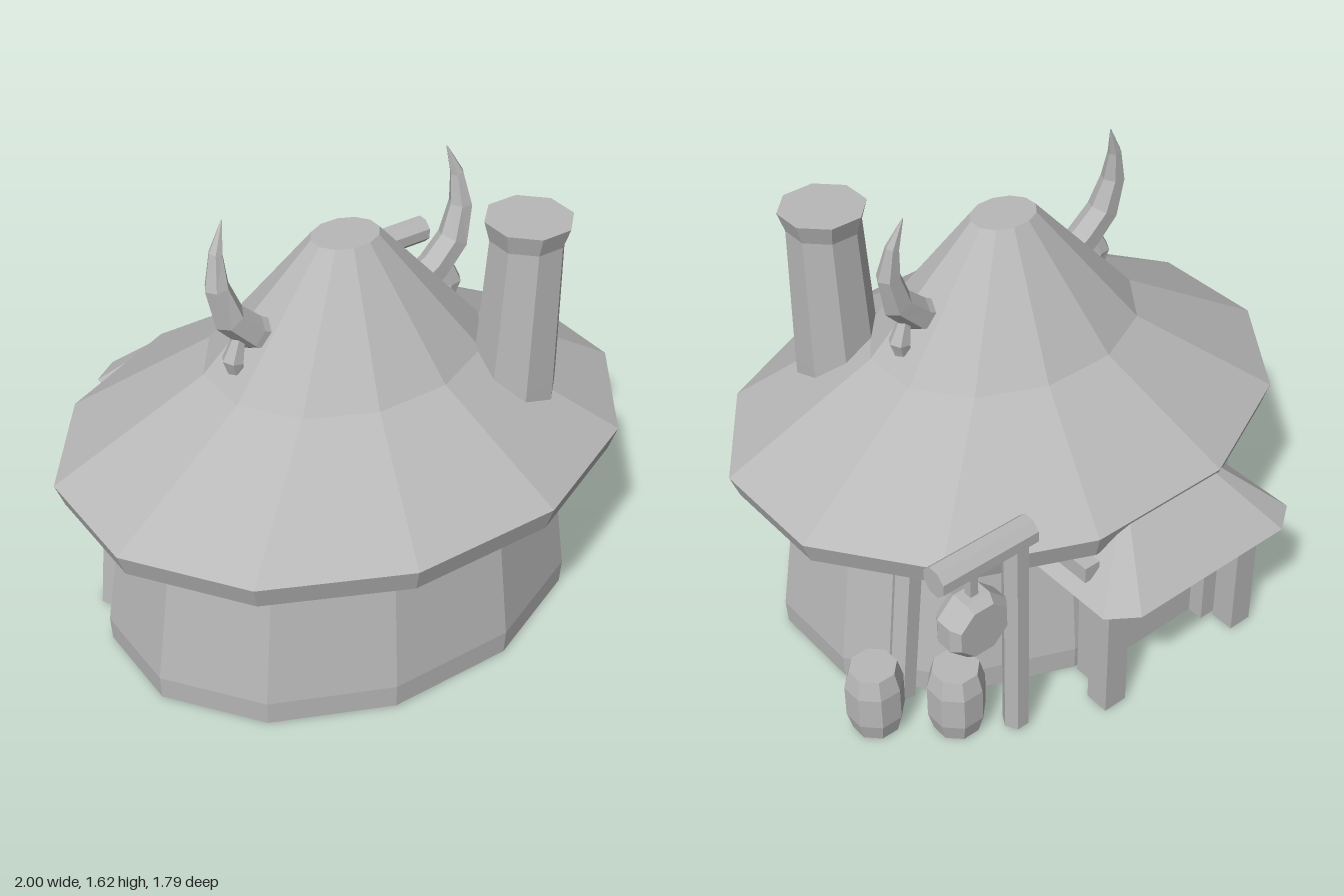
import * as THREE from 'three';

const V = (x, y, z) => new THREE.Vector3(x, y, z);

// skin between rings of equal point count, with fan caps at both ends
function loft(rings) {
  const n = rings[0].length, pos = [], idx = [];
  rings.forEach(r => r.forEach(p => pos.push(p.x, p.y, p.z)));
  for (let i = 0; i < rings.length - 1; i++) {
    for (let j = 0; j < n; j++) {
      const a = i * n + j, b = i * n + (j + 1) % n;
      idx.push(a, b, b + n, a, b + n, a + n);
    }
  }
  const top = (rings.length - 1) * n;
  for (let j = 1; j < n - 1; j++) {
    idx.push(0, j + 1, j, top, top + j, top + j + 1);
  }
  const g = new THREE.BufferGeometry();
  g.setAttribute('position', new THREE.Float32BufferAttribute(pos, 3));
  g.setIndex(idx);
  g.computeVertexNormals();
  return g;
}

// faceted tapering limb along a path in the xy plane: stations are [x, y, z, radius]
function limb(stations, sides = 6) {
  const pts = stations.map(s => V(s[0], s[1], s[2]));
  return loft(stations.map((s, i) => {
    const dir = pts[Math.min(i + 1, pts.length - 1)].clone().sub(pts[Math.max(i - 1, 0)]).normalize();
    const u = V(0, 0, 1), v = u.clone().cross(dir).normalize().negate();
    return Array.from({ length: sides }, (_, j) => {
      const a = -(j + 0.5) / sides * Math.PI * 2;
      return pts[i].clone().addScaledVector(u, Math.cos(a) * s[3]).addScaledVector(v, Math.sin(a) * s[3]);
    });
  }));
}

// faceted turned shape whose profile gives half-widths across the flats
function turned(profile, sides) {
  const k = 1 / Math.cos(Math.PI / sides);
  return new THREE.LatheGeometry(profile.map(([r, y]) => new THREE.Vector2(r * k, y)), sides, Math.PI / sides);
}

export function createModel() {
  const group = new THREE.Group();
  const mat = new THREE.MeshStandardMaterial({ color: 0xb8b8b8, flatShading: true, side: THREE.DoubleSide });
  mat.name = 'plain grey';

  const add = (name, geo, x = 0, y = 0, z = 0) => {
    const m = new THREE.Mesh(geo, mat);
    m.name = name;
    m.position.set(x, y, z);
    group.add(m);
    return m;
  };
  const box = (name, w, h, d, x, y, z) => add(name, new THREE.BoxGeometry(w, h, d), x, y, z);

  // oval twelve-sided wall, open underneath
  add('wall', turned([[0.86, 0], [0.865, 0.09], [0.78, 0.66]], 12), 0, 0, 0.095).scale.z = 0.756;

  // two-pitch roof with a thick eave and flat peak
  add('roof', turned([[0.72, 0.65], [0.97, 0.63], [1, 0.715], [0.485, 1.02], [0.117, 1.44], [0, 1.44]], 12),
    0, 0, 0.095).scale.z = 0.795;

  // chimney standing on the ground, leaning slightly as it rises
  const chimney = turned([[0, 0.02], [0.15, 0.02], [0.135, 0.92], [0.117, 1.43], [0.137, 1.5], [0, 1.5]], 8);
  const cp = chimney.attributes.position;
  for (let i = 0; i < cp.count; i++) cp.setX(i, cp.getX(i) + (cp.getY(i) - 1.5) * 0.03);
  add('chimney', chimney, 0.482, 0, 0.425);

  // horns, their brackets, and the leaning wall posts on both sides
  for (const s of [1, -1]) {
    const pair = [
      add('horn', limb([[0.27, 1.15, 0.1, 0.055], [0.36, 1.2, 0.1, 0.058], [0.44, 1.28, 0.095, 0.055],
        [0.475, 1.4, 0.085, 0.042], [0.465, 1.51, 0.07, 0.024], [0.43, 1.61, 0.055, 0.002]])),
      add('hornBracket', limb([[0.425, 1.08, 0.1, 0.03], [0.435, 1.12, 0.1, 0.038], [0.4, 1.23, 0.1, 0.016]])),
      add('wallPost', limb([[0.755, 0, -0.26, 0.05], [0.69, 0.67, -0.26, 0.05]])),
      box('eaveBeam', 0.06, 0.06, 0.26, 0.3, 0.6, -0.575),
    ];
    pair.forEach(m => { m.scale.x = s; m.position.x *= s; });
  }

  // porch roof with clipped corners
  const ring = (x0, x1, z0, z1, c, y) => [
    [x0, z0 + c * 0.7], [x0, z1], [x1, z1], [x1, z0 + c * 0.7], [x1 - c, z0], [x0 + c, z0],
  ].map(([x, z]) => V(x, y, z));
  add('porchRoof', loft([
    ring(-0.46, 0.34, -0.88, -0.48, 0.1, 0.5),
    ring(-0.48, 0.36, -0.897, -0.48, 0.1, 0.52),
    ring(-0.28, 0.16, -0.69, -0.48, 0.03, 0.71),
  ]));

  // porch posts, door frame and door
  for (const s of [1, -1]) {
    box('porchPost', 0.09, 0.5, 0.09, -0.06 + s * 0.3, 0.25, -0.73);
    box('doorFrame', 0.08, 0.5, 0.1, -0.06 + s * 0.25, 0.25, -0.62);
  }
  box('door', 0.46, 0.5, 0.08, -0.06, 0.25, -0.57);
  box('doorKnob', 0.03, 0.04, 0.03, -0.09, 0.27, -0.622);

  // box set into the back wall beside the porch
  box('wallBox', 0.17, 0.15, 0.16, -0.5, 0.18, -0.45).rotation.y = Math.atan2(0.175, 0.4);

  // two barrels
  const barrel = [[0, 0], [0.075, 0], [0.092, 0.07], [0.092, 0.195], [0.075, 0.265], [0, 0.265]];
  add('barrel', turned(barrel, 8), 0.9, 0, -0.315);
  add('barrel', turned(barrel, 8), 0.695, 0, -0.49);

  // sign post with crossbeam and a hanging keg
  add('signPost', turned([[0, 0.01], [0.04, 0.01], [0.04, 0.82], [0, 0.82]], 6), 0.545, 0, -0.615);
  add('signBeam', turned([[0, -0.185], [0.048, -0.185], [0.048, 0.185], [0, 0.185]], 8), 0.675, 0.835, -0.615)
    .rotation.z = Math.PI / 2;
  box('signHanger', 0.03, 0.14, 0.03, 0.715, 0.75, -0.61);
  add('signKeg', turned([[0, -0.062], [0.09, -0.062], [0.112, -0.03], [0.112, 0.03], [0.09, 0.062], [0, 0.062]], 8),
    0.715, 0.585, -0.61).rotation.x = Math.PI / 2;

  return group;
}
